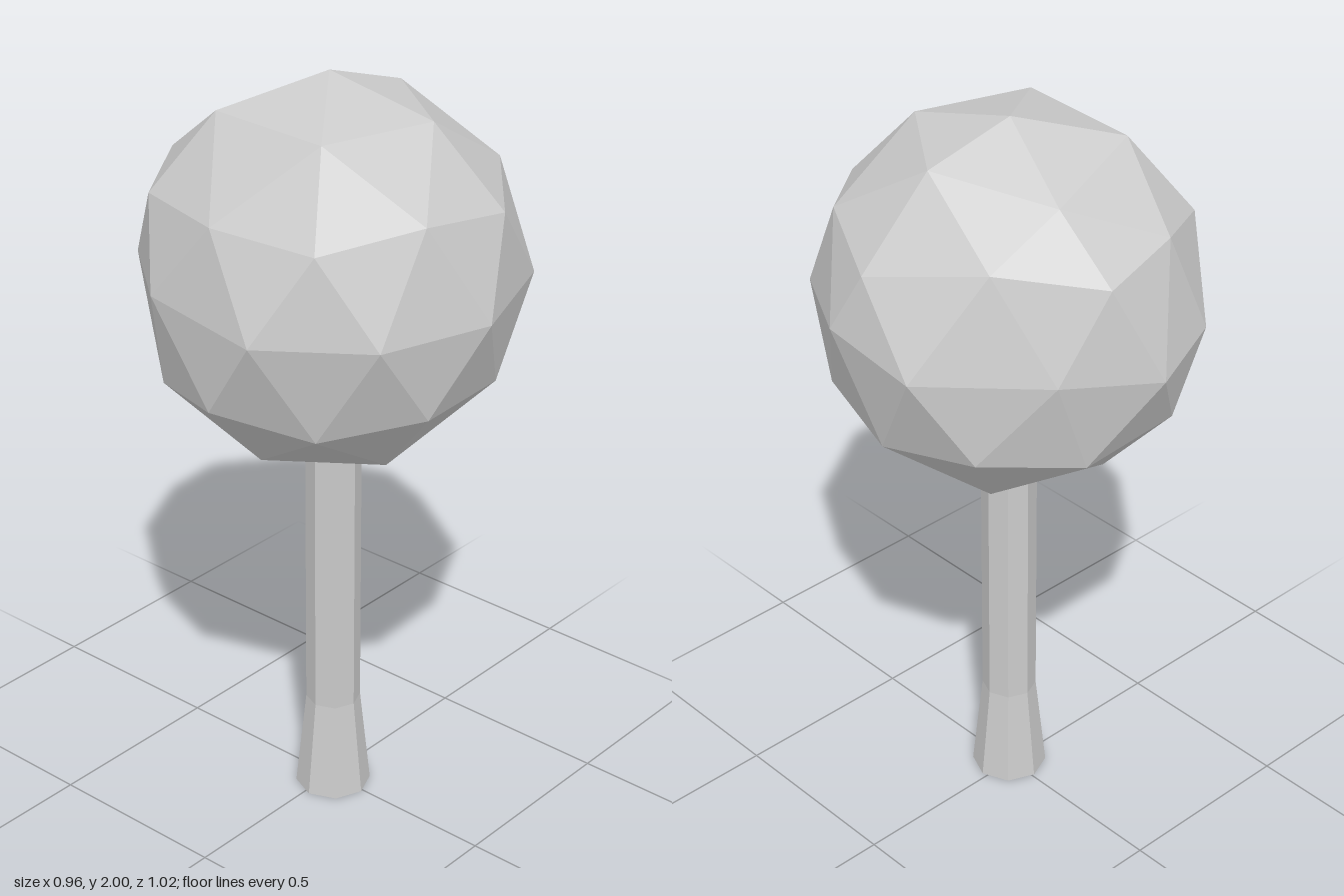
import * as THREE from 'three';
import { ConvexGeometry } from 'three/addons/geometries/ConvexGeometry.js';

const material = new THREE.MeshStandardMaterial({ color: 0xcccccc, flatShading: true });

// Corners of a once-subdivided icosahedron (radius 0.5): rings from the top
// down to the equator, then the upper ones mirrored through the centre
function ballCorners() {
  const corners = [];
  const addRing = (count, radius, y, phase) => {
    for (let i = 0; i < count; i++) {
      const a = THREE.MathUtils.degToRad(phase + (i * 360) / count);
      corners.push(new THREE.Vector3(radius * Math.cos(a), y, radius * Math.sin(a)));
    }
  };
  addRing(1, 0, 0.5, 0);
  addRing(5, 0.263, 0.425, 0);
  addRing(5, 0.447, 0.224, 0);
  addRing(5, 0.425, 0.263, 36);
  addRing(10, 0.5, 0, 18);
  return corners.concat(corners.slice(0, 16).map((p) => p.clone().negate()));
}

// Irregular faceted ball of leaves: a few corners are pushed, [corner, dx, dy, dz]
function createCrown() {
  const regular = ballCorners();
  const moved = regular.map((p) => p.clone());
  const nudges = [
    [0, 0.035, 0, -0.035], [4, 0.013, 0, -0.035], [5, 0.019, -0.055, -0.02],
    [6, 0, -0.02, 0.03], [9, 0.037, 0, -0.037], [10, -0.043, 0, -0.015],
    [13, 0.025, -0.033, -0.03], [15, -0.044, 0, 0], [16, 0.004, 0.04, -0.04],
    [17, 0.026, 0, -0.02], [21, 0.056, 0.01, -0.055], [22, 0.069, 0, -0.04],
    [23, -0.01, -0.03, -0.02], [24, -0.064, 0, 0], [40, 0.019, 0.033, 0],
  ];
  for (const [k, dx, dy, dz] of nudges) moved[k].add(new THREE.Vector3(dx, dy, dz));

  // Triangulate the regular ball, then shift each corner to its pushed place
  const geometry = new ConvexGeometry(regular);
  const pos = geometry.attributes.position;
  const v = new THREE.Vector3();
  for (let i = 0; i < pos.count; i++) {
    v.fromBufferAttribute(pos, i);
    const k = regular.findIndex((p) => p.distanceTo(v) < 0.01);
    pos.setXYZ(i, ...moved[k].toArray());
  }
  geometry.computeVertexNormals();
  const crown = new THREE.Mesh(geometry, material);
  crown.name = 'crown';
  crown.position.y = 1.5;
  return crown;
}

// Eight-sided trunk with a flared foot, closed at both ends
function createTrunk() {
  const profile = [[0, 0], [0.1, 0], [0.072, 0.27], [0.072, 1.05], [0, 1.05]]
    .map(([r, y]) => new THREE.Vector2(r, y));
  const trunk = new THREE.Mesh(new THREE.LatheGeometry(profile, 8), material);
  trunk.name = 'trunk';
  trunk.position.set(-0.007, 0, 0.015);
  return trunk;
}

export function createModel() {
  const tree = new THREE.Group();
  tree.name = 'tree';
  tree.add(createTrunk(), createCrown());
  return tree;
}
